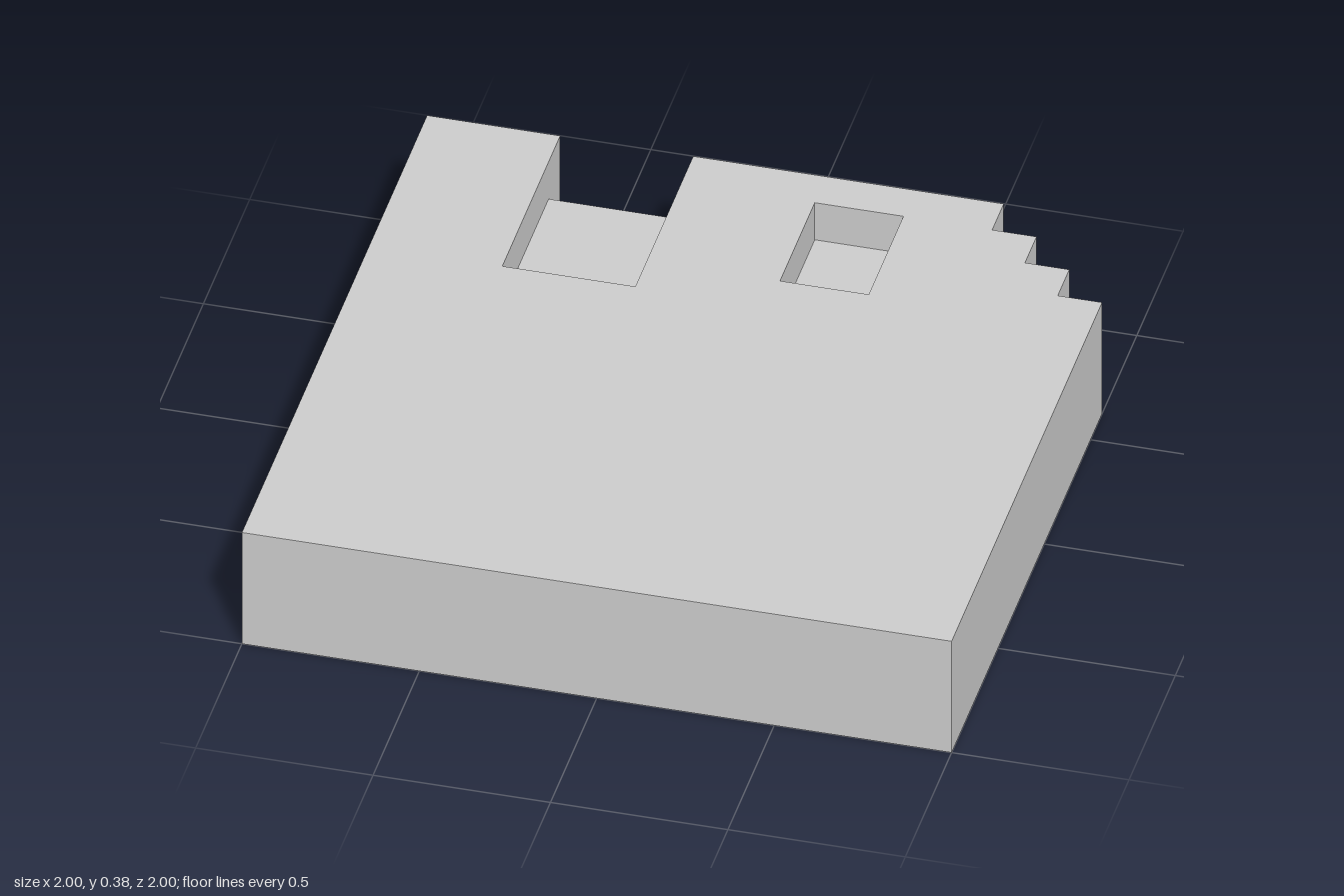
import * as THREE from 'three';

const U = 0.125; // grid unit: the slab is 16 x 3 x 16 units

export function createModel() {
  const group = new THREE.Group();
  const material = new THREE.MeshStandardMaterial({ color: 0xcccccc, flatShading: true });

  // Plan points are [x, z] in units; the shape's y is -z so it can be laid flat
  const plan = (points) => points.map(([x, z]) => new THREE.Vector2(x * U, -z * U));

  // Slab outline with the back notch and the stepped corner
  const outline = new THREE.Shape(plan([
    [-8, 8], [8, 8],
    [8, -5], [7, -5], [7, -6], [6, -6], [6, -7], [5, -7], [5, -8],
    [-2, -8], [-2, -3], [-5, -3], [-5, -8], [-8, -8],
  ]));
  // Rectangular pocket opening
  outline.holes.push(new THREE.Path(plan([[1, -7], [3, -7], [3, -4], [1, -4]])));

  const slab = new THREE.Mesh(
    new THREE.ExtrudeGeometry(outline, { depth: 3 * U, bevelEnabled: false }).rotateX(-Math.PI / 2),
    material,
  );
  slab.name = 'slab';
  group.add(slab);

  // Thin webs halfway up, recessed from both the top and the bottom
  const addWeb = (name, x0, x1, z0, z1) => {
    const web = new THREE.Mesh(new THREE.BoxGeometry((x1 - x0) * U, U, (z1 - z0) * U), material);
    web.position.set((x0 + x1) * U / 2, 1.5 * U, (z0 + z1) * U / 2);
    web.name = name;
    group.add(web);
  };
  addWeb('notchWeb', -5, -2, -7, -3);
  addWeb('pocketWeb', 1, 3, -7, -4);

  return group;
}
